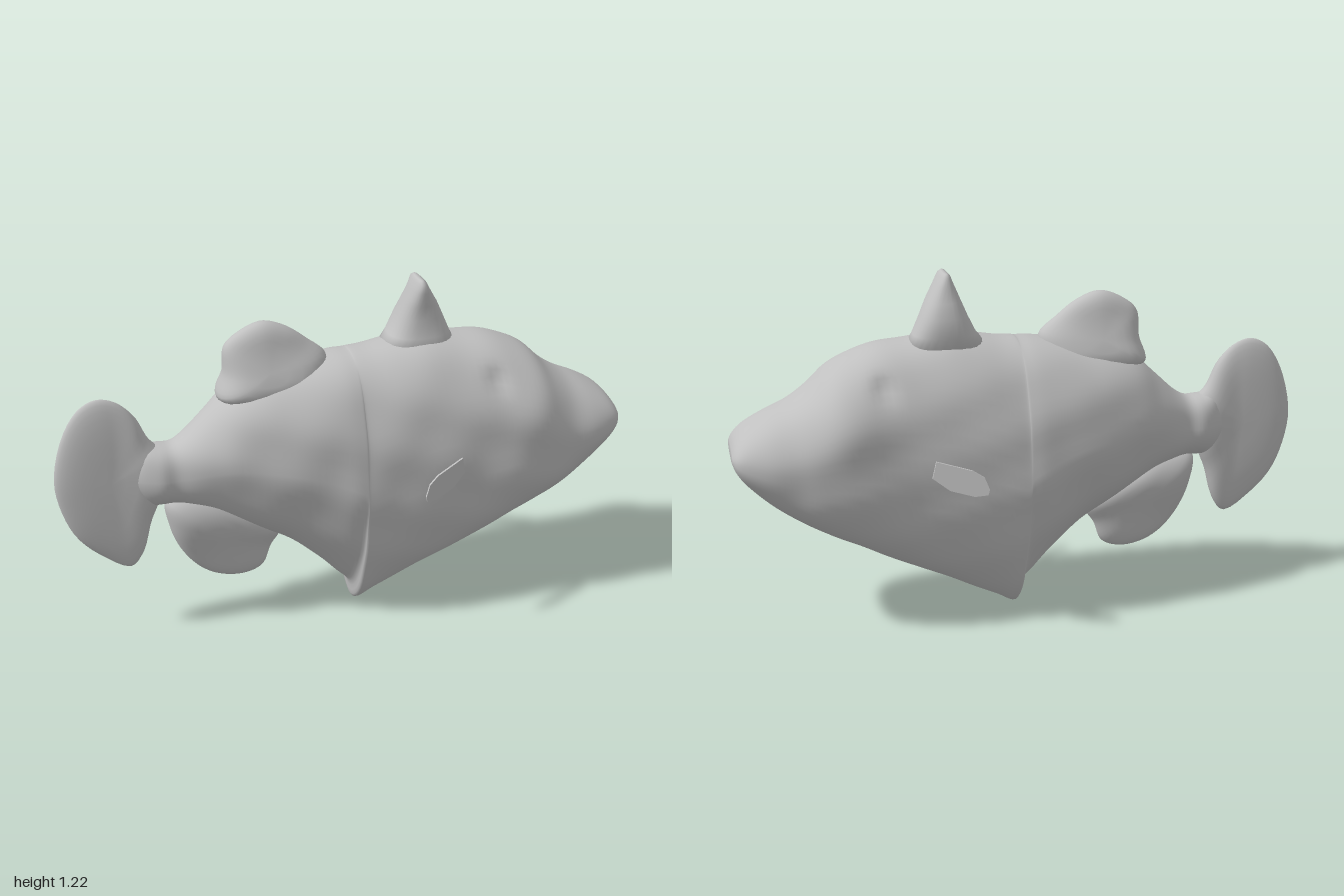
import * as THREE from 'three';

const TAU = Math.PI * 2;

// Skin a stack of equal-length rings, close both ends, face outward
function loft(rings) {
  const n = rings[0].length, pos = [], idx = [];
  rings.forEach(r => r.forEach(p => pos.push(p.x, p.y, p.z)));
  for (let i = 0; i < rings.length - 1; i++) {
    for (let j = 0; j < n; j++) {
      const a = i * n + j, b = i * n + (j + 1) % n;
      idx.push(a, b, a + n, b, b + n, a + n);
    }
  }
  [0, rings.length - 1].forEach(i => {
    const c = new THREE.Vector3();
    rings[i].forEach(p => c.addScaledVector(p, 1 / n));
    const k = pos.length / 3;
    pos.push(c.x, c.y, c.z);
    for (let j = 0; j < n; j++) {
      const a = i * n + j, b = i * n + (j + 1) % n;
      if (i === 0) idx.push(k, b, a); else idx.push(k, a, b);
    }
  });
  // flip the winding when the enclosed volume is negative
  const v = k => new THREE.Vector3().fromArray(pos, k * 3);
  let volume = 0;
  for (let i = 0; i < idx.length; i += 3) volume += v(idx[i]).dot(v(idx[i + 1]).cross(v(idx[i + 2])));
  if (volume < 0) idx.reverse();
  const g = new THREE.BufferGeometry();
  g.setAttribute('position', new THREE.Float32BufferAttribute(pos, 3));
  g.setIndex(idx);
  g.computeVertexNormals();
  return g;
}

// Rounded fin: a smooth outline swelling to a half thickness in z
function finGeometry(points, cx, cy, half) {
  const outline = new THREE.CatmullRomCurve3(
    points.map(([x, y]) => new THREE.Vector3(x, y, 0)), true).getPoints(56).slice(0, -1);
  const rings = [];
  for (let i = 0; i <= 14; i++) {
    const a = -Math.PI / 2 + Math.PI * (0.04 + 0.92 * i / 14);
    const s = Math.pow(Math.cos(a), 0.6);
    rings.push(outline.map(p => {
      const x = cx + (p.x - cx) * s, y = cy + (p.y - cy) * s;
      return new THREE.Vector3(x, y, half(x, y) * Math.sin(a));
    }));
  }
  return loft(rings);
}

// Body stations: x, top, bottom, half width
const STATIONS = [
  [-0.74, 0.68, 0.54, 0.035], [-0.70, 0.725, 0.50, 0.065], [-0.65, 0.725, 0.50, 0.09],
  [-0.60, 0.725, 0.50, 0.09], [-0.55, 0.755, 0.485, 0.105], [-0.48, 0.82, 0.455, 0.13],
  [-0.40, 0.89, 0.41, 0.165], [-0.30, 0.93, 0.35, 0.195], [-0.20, 0.95, 0.29, 0.215],
  [-0.10, 0.97, 0.20, 0.23], [-0.03, 0.98, 0.125, 0.24], [0.015, 0.982, 0.075, 0.24],
  [0.03, 0.985, 0.003, 0.24], [0.09, 0.99, 0.03, 0.242], [0.18, 1.005, 0.075, 0.243],
  [0.28, 1.015, 0.13, 0.24], [0.40, 1.0, 0.19, 0.237], [0.50, 0.99, 0.24, 0.24],
  [0.58, 0.965, 0.285, 0.242], [0.66, 0.925, 0.325, 0.24], [0.73, 0.86, 0.365, 0.23],
  [0.80, 0.812, 0.41, 0.21], [0.88, 0.775, 0.47, 0.19], [0.95, 0.735, 0.54, 0.165],
  [0.985, 0.70, 0.59, 0.142], [1.0, 0.67, 0.63, 0.11],
];

function bodyGeometry() {
  const curve = k => new THREE.SplineCurve(STATIONS.map(s => new THREE.Vector2(s[0], s[k])));
  const top = curve(1), bottom = curve(2), width = curve(3);
  const blob = (x, y, cx, cy, r) => Math.exp(-((x - cx) ** 2 + (y - cy) ** 2) / (r * r));
  const rings = [], steps = 100, sides = 64;
  for (let i = 0; i <= steps; i++) {
    const t = i / steps;
    const { x, y: hi } = top.getPoint(t);
    const lo = bottom.getPoint(t).y, w = width.getPoint(t).y;
    const mid = (hi + lo) / 2 + 0.02 * (1 - Math.abs(x));
    // keeled underside at the belly, fuller toward the snout
    const lower = THREE.MathUtils.lerp(1.75, 2.35, THREE.MathUtils.smoothstep(x, 0.05, 0.5));
    const ring = [];
    for (let j = 0; j < sides; j++) {
      const a = TAU * j / sides, c = Math.cos(a), s = Math.sin(a);
      const e = 2 / (s > 0 ? 2.2 : lower);
      const y = mid + Math.sign(s) * Math.pow(Math.abs(s), e) * (s > 0 ? hi - mid : mid - lo);
      let z = w * Math.pow(Math.abs(c), e);
      // brow swelling, sunken eye and uneven skin
      z += Math.abs(c) * (0.025 * blob(x, y, 0.62, 0.8, 0.1) - 0.03 * blob(x, y, 0.5, 0.885, 0.035)
        + 0.006 * Math.sin(17 * x + 9 * y) * Math.sin(21 * y - 6 * x));
      ring.push(new THREE.Vector3(x, y, Math.sign(c) * z));
    }
    rings.push(ring);
  }
  return loft(rings);
}

// Stout front dorsal spine: y, x range, z range
function spineGeometry() {
  const levels = [
    [0.94, 0.10, 0.42, -0.10, 0.09], [1.02, 0.165, 0.38, -0.112, 0.068],
    [1.08, 0.195, 0.355, -0.108, 0.055], [1.13, 0.215, 0.33, -0.085, 0.06],
    [1.18, 0.235, 0.30, -0.065, 0.066], [1.21, 0.247, 0.283, -0.058, 0.064],
    [1.22, 0.256, 0.272, -0.04, 0.045],
  ];
  return loft(levels.map(([y, x0, x1, z0, z1]) => Array.from({ length: 28 }, (_, j) => {
    const c = Math.cos(TAU * j / 28), s = Math.sin(TAU * j / 28);
    const r = v => Math.sign(v) * Math.pow(Math.abs(v), 0.8);
    return new THREE.Vector3((x0 + x1) / 2 + r(c) * (x1 - x0) / 2, y, (z0 + z1) / 2 + r(s) * (z1 - z0) / 2);
  })));
}

// Thin side fin, swept out toward the back
function pectoralGeometry() {
  const outline = [[0.19, 0.565], [0.205, 0.605], [0.24, 0.625], [0.35, 0.645], [0.362, 0.585], [0.31, 0.548], [0.235, 0.535], [0.195, 0.545]];
  const shape = new THREE.Shape(outline.map(p => new THREE.Vector2(...p)));
  const g = new THREE.ExtrudeGeometry(shape, { depth: 0.008, bevelEnabled: false });
  const p = g.attributes.position;
  for (let i = 0; i < p.count; i++) p.setZ(i, p.getZ(i) + 0.24 + (0.362 - p.getX(i)) * 0.53);
  g.computeVertexNormals();
  return g;
}

export function createModel() {
  const model = new THREE.Group();
  model.name = 'fish';
  const skin = new THREE.MeshStandardMaterial({ color: 0xc0c0c0 });
  skin.name = 'plain grey';
  const add = (name, geometry) => {
    const mesh = new THREE.Mesh(geometry, skin);
    mesh.name = name;
    model.add(mesh);
    return mesh;
  };

  add('body', bodyGeometry());
  add('dorsalSpine', spineGeometry());

  add('tailFin', finGeometry([
    [-0.64, 0.70], [-0.68, 0.755], [-0.72, 0.84], [-0.78, 0.9], [-0.84, 0.917], [-0.9, 0.89],
    [-0.96, 0.8], [-1.0, 0.64], [-0.985, 0.52], [-0.94, 0.41], [-0.86, 0.325], [-0.765, 0.268],
    [-0.72, 0.32], [-0.685, 0.44], [-0.65, 0.53],
  ], -0.82, 0.61, x => 0.036 + 0.03 * THREE.MathUtils.smoothstep(x, -0.8, -0.65)));

  add('rearDorsalFin', finGeometry([
    [-0.44, 0.87], [-0.418, 0.96], [-0.41, 1.05], [-0.36, 1.095], [-0.28, 1.125], [-0.2, 1.1],
    [-0.125, 1.045], [-0.06, 0.98], [-0.1, 0.88], [-0.28, 0.84],
  ], -0.27, 0.96, (x, y) => 0.055 + 0.06 * THREE.MathUtils.smoothstep(1.06 - y, 0, 0.2)));

  add('analFin', finGeometry([
    [-0.63, 0.51], [-0.625, 0.41], [-0.59, 0.31], [-0.53, 0.23], [-0.46, 0.185], [-0.37, 0.17],
    [-0.3, 0.195], [-0.268, 0.27], [-0.23, 0.34], [-0.35, 0.45], [-0.5, 0.53],
  ], -0.44, 0.36, (x, y) => 0.045 + 0.04 * THREE.MathUtils.smoothstep(y, 0.25, 0.45)));

  // Pectoral fins, mirrored front to back
  const pectoral = pectoralGeometry();
  add('pectoralFinFront', pectoral);
  add('pectoralFinBack', pectoral).scale.z = -1;

  return model;
}
